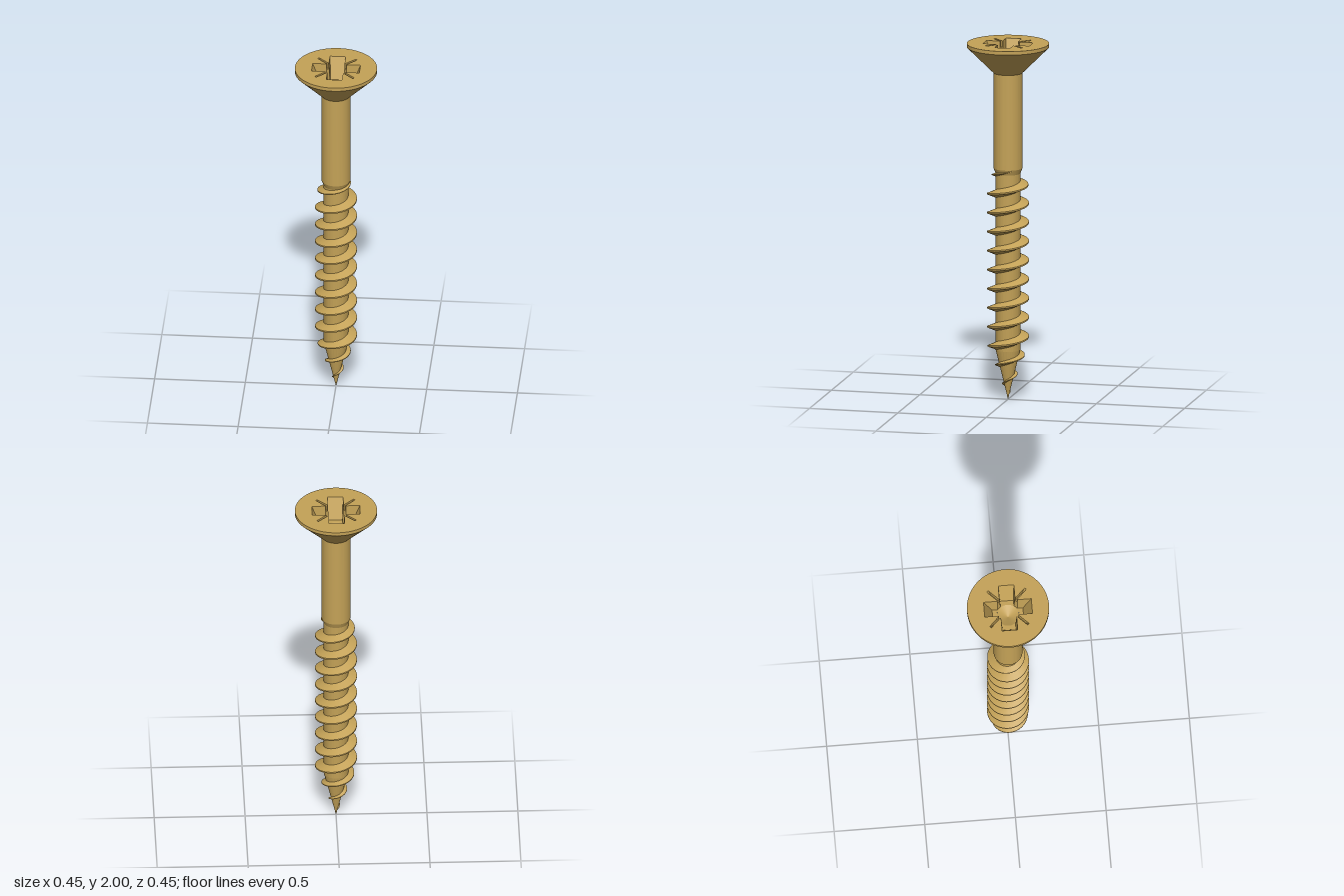
import * as THREE from 'three';
import { toCreasedNormals } from 'three/addons/utils/BufferGeometryUtils.js';

const TOP = 2, TICK_Y = 1.965, FLOOR_Y = 1.88;
const HEAD_R = 0.226, CORE_R = 0.068, CREST_R = 0.115, PITCH = 0.1068;
const { lerp, clamp } = THREE.MathUtils;

function quadGeometry(quads, crease) {
  const pos = [];
  for (const [a, b, c, d] of quads) for (const p of [a, b, c, a, c, d]) pos.push(...p);
  const g = new THREE.BufferGeometry();
  g.setAttribute('position', new THREE.Float32BufferAttribute(pos, 3));
  return toCreasedNormals(g, crease);
}

function lathe(profile) {
  const points = profile.map(([r, y]) => new THREE.Vector2(r, y));
  return toCreasedNormals(new THREE.LatheGeometry(points, 64), 0.25);
}

// Flat plate facing up at height y, from a plan outline and a hole
function plate(shape, hole, y) {
  shape.holes.push(hole);
  return new THREE.ShapeGeometry(shape, 64).rotateX(-Math.PI / 2).translate(0, y, 0);
}

const toVec = pts => pts.map(p => new THREE.Vector2(...p));
const turn = ([x, y], n) => (n === 0 ? [x, y] : turn([-y, x], n - 1));
const at = ([x, y], h) => [x, h, -y];

// One quadrant of the cross recess; t = 0 at the rim, 1 at the floor.
// Points 2 and 3 bound the diagonal tick.
const S = 0.0042;
function quadrant(t, n) {
  const a = lerp(0.132, 0.085, t), w = lerp(0.043, 0.037, t), k = lerp(0.056, 0.054, t);
  const m = (k + w) / 2;
  return [[a, w], [k, w], [m + S, m - S], [m - S, m + S], [w, k], [w, a]].map(p => turn(p, n));
}
const tickEnd = (e, n) => [[e + S, e - S], [e - S, e + S]].map(p => turn(p, n));
const turns = [0, 1, 2, 3];
const outline = t => turns.flatMap(n => quadrant(t, n));

function recessWalls() {
  const tTick = (TOP - TICK_Y) / (TOP - FLOOR_Y);
  const levels = [[0, TOP], [tTick, TICK_Y], [1, FLOOR_Y]]
    .map(([t, y]) => outline(t).map(p => at(p, y)));
  const quads = [];
  const wall = (hi, lo, i, j) => quads.push([lo[i], hi[i], hi[j], lo[j]]);
  for (let l = 0; l < 2; l++) {
    for (let i = 0; i < 24; i++) {
      if (l === 0 && i % 6 === 2) continue; // mouth of the tick
      wall(levels[l], levels[l + 1], i, (i + 1) % 24);
    }
  }
  // Diagonal ticks: two sides, sloped end and floor
  for (const n of turns) {
    const ring = (level, e, y) => {
      const [e2, e3] = tickEnd(e, n).map(p => at(p, y));
      return [level[n * 6 + 2], e2, e3, level[n * 6 + 3]];
    };
    const hi = ring(levels[0], 0.105, TOP), lo = ring(levels[1], 0.088, TICK_Y);
    for (let i = 0; i < 3; i++) wall(hi, lo, i, i + 1);
    quads.push(lo);
  }
  return quadGeometry(quads, 0.1);
}

// Helical ridge, fading out at both ends
function thread() {
  const rings = [], y0 = 0.04, y1 = 1.295, steps = 580;
  for (let i = 0; i <= steps; i++) {
    const y = lerp(y0, y1, i / steps);
    const angle = ((y - 1.178) / PITCH) * Math.PI * 2;
    const core = CORE_R * Math.min(1, y / 0.28);
    const crest = y < 0.31 ? CREST_R * y / 0.31
      : lerp(CREST_R, 0.078, clamp((y - 1.2) / 0.095, 0, 1));
    const scale = clamp((crest - core) / (CREST_R - CORE_R), 0.2, 1);
    const base = 0.024 * scale, tip = 0.004 * scale;
    const profile = [[core * 0.95, -base], [crest, -tip], [crest, tip], [core * 0.95, base]];
    rings.push(profile.map(([r, h]) => [r * Math.cos(angle), y + h, -r * Math.sin(angle)]));
  }
  const quads = [];
  for (let i = 0; i < steps; i++) {
    const a = rings[i], b = rings[i + 1];
    for (let j = 0; j < 3; j++) quads.push([a[j], b[j], b[j + 1], a[j + 1]]);
  }
  quads.push(rings[0], [...rings[steps]].reverse());
  return quadGeometry(quads, 0.5);
}

export function createModel() {
  const group = new THREE.Group();
  const brass = new THREE.MeshStandardMaterial({ color: 0xc4a257 });
  const add = (name, geometry, parent = group) => {
    const mesh = new THREE.Mesh(geometry, brass);
    mesh.name = name;
    parent.add(mesh);
  };

  // Pointed core, smooth shank and countersunk head
  add('threadedCore', lathe([[0, 0], [CORE_R, 0.28], [CORE_R, 1.27]]));
  add('shank', lathe([[CORE_R, 1.27], [0.08, 1.3], [0.08, 1.835]]));
  add('head', lathe([[0.08, 1.835], [HEAD_R, 1.98], [HEAD_R, TOP]]));
  add('thread', thread());

  // Top face, cut by the cross and ticks
  const rim = turns.flatMap(n => {
    const q = quadrant(0, n);
    return [...q.slice(0, 3), ...tickEnd(0.105, n), ...q.slice(3)];
  });
  const disc = new THREE.Shape().absarc(0, 0, HEAD_R, 0, Math.PI * 2);
  add('headTop', plate(disc, new THREE.Path(toVec(rim)), TOP));

  // Driver recess
  const recess = new THREE.Group();
  recess.name = 'driverRecess';
  group.add(recess);
  add('recessWalls', recessWalls(), recess);
  const centreHole = new THREE.Path().absarc(0, 0, 0.061, 0, Math.PI * 2);
  add('recessFloor', plate(new THREE.Shape(toVec(outline(1))), centreHole, FLOOR_Y), recess);
  add('recessCone', lathe([[0.061, FLOOR_Y], [0, 1.852]]), recess);

  return group;
}
